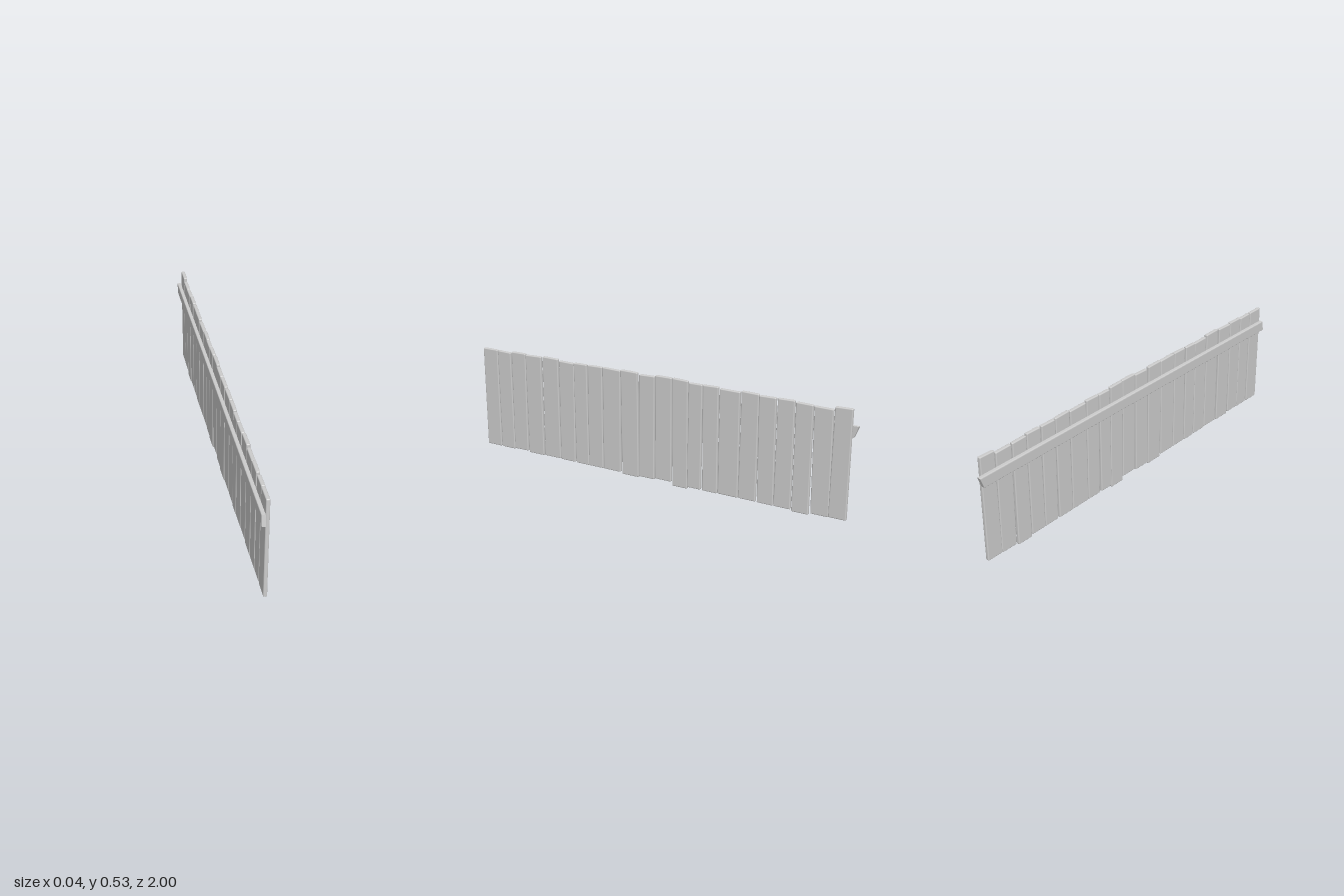
import * as THREE from 'three';
import { RoundedBoxGeometry } from 'three/addons/geometries/RoundedBoxGeometry.js';

// Each plank: [z at front edge, z at back edge, bottom y, top y]
const PLANKS = [
  [0.988, 0.902, 0.013, 0.524], [0.897, 0.818, 0.013, 0.522],
  [0.815, 0.732, 0.017, 0.528], [0.727, 0.636, 0.012, 0.525],
  [0.626, 0.534, 0.015, 0.530], [0.529, 0.443, 0.013, 0.522],
  [0.441, 0.367, 0.012, 0.525], [0.362, 0.281, 0.013, 0.527],
  [0.277, 0.180, 0.013, 0.527], [0.175, 0.083, 0.006, 0.530],
  [0.077, -0.007, 0.013, 0.525], [-0.012, -0.099, 0.020, 0.533],
  [-0.104, -0.184, 0.002, 0.532], [-0.186, -0.256, 0.012, 0.525],
  [-0.263, -0.341, 0.012, 0.527], [-0.346, -0.447, 0.013, 0.522],
  [-0.452, -0.538, 0.013, 0.527], [-0.543, -0.624, 0.013, 0.523],
  [-0.629, -0.710, 0.013, 0.525], [-0.715, -0.796, 0.006, 0.520],
  [-0.804, -0.891, 0.016, 0.517], [-0.893, -0.975, 0.018, 0.532],
];

function makePlank([z0, z1, y0, y1], i) {
  const w = z0 - z1, h = y1 - y0;
  const geo = new RoundedBoxGeometry(0.018, h, w, 2, 0.005);
  // lean and taper each board a little
  const p = geo.attributes.position;
  const lean = 0.004 * Math.sin(i * 2.3), taper = 0.03 * Math.sin(i * 4.1 + 1);
  const slant = 0.03 * Math.sin(i * 1.7);
  for (let k = 0; k < p.count; k++) {
    const t = p.getY(k) / h, z = p.getZ(k);
    p.setZ(k, z * (1 + taper * t) + lean * t);
    if (t > 0) p.setY(k, p.getY(k) + slant * z);
  }
  const mesh = new THREE.Mesh(geo, new THREE.MeshStandardMaterial({ color: 0xcccccc }));
  mesh.name = 'plank' + (i + 1);
  mesh.position.set(0.0065 + 0.001 * Math.sin(i * 1.9), (y0 + y1) / 2, (z0 + z1) / 2);
  return mesh;
}

// Long rail across the back of the boards, with softened outer edges
function makeRail() {
  const s = new THREE.Shape();
  s.moveTo(-0.003, 0.399);
  s.lineTo(-0.003, 0.452);
  s.lineTo(-0.015, 0.452);
  s.quadraticCurveTo(-0.02, 0.452, -0.02, 0.446);
  s.lineTo(-0.02, 0.403);
  s.quadraticCurveTo(-0.02, 0.399, -0.015, 0.399);
  const geo = new THREE.ExtrudeGeometry(s, { depth: 1.98, bevelEnabled: false, curveSegments: 4 });
  geo.translate(0, 0, -0.99);
  // ends are sawn at a slight slant
  const p = geo.attributes.position;
  for (let k = 0; k < p.count; k++) {
    const t = (p.getY(k) - 0.4255) / 0.0265, z = p.getZ(k);
    p.setZ(k, z > 0 ? 0.995 - 0.005 * t : -0.99 - 0.01 * t);
  }
  geo.computeVertexNormals();
  const mesh = new THREE.Mesh(geo, new THREE.MeshStandardMaterial({ color: 0xcccccc }));
  mesh.name = 'rail';
  return mesh;
}

export function createModel() {
  const model = new THREE.Group();
  model.name = 'plankFence';
  const boards = new THREE.Group();
  boards.name = 'planks';
  PLANKS.forEach((spec, i) => boards.add(makePlank(spec, i)));
  model.add(boards, makeRail());
  return model;
}
